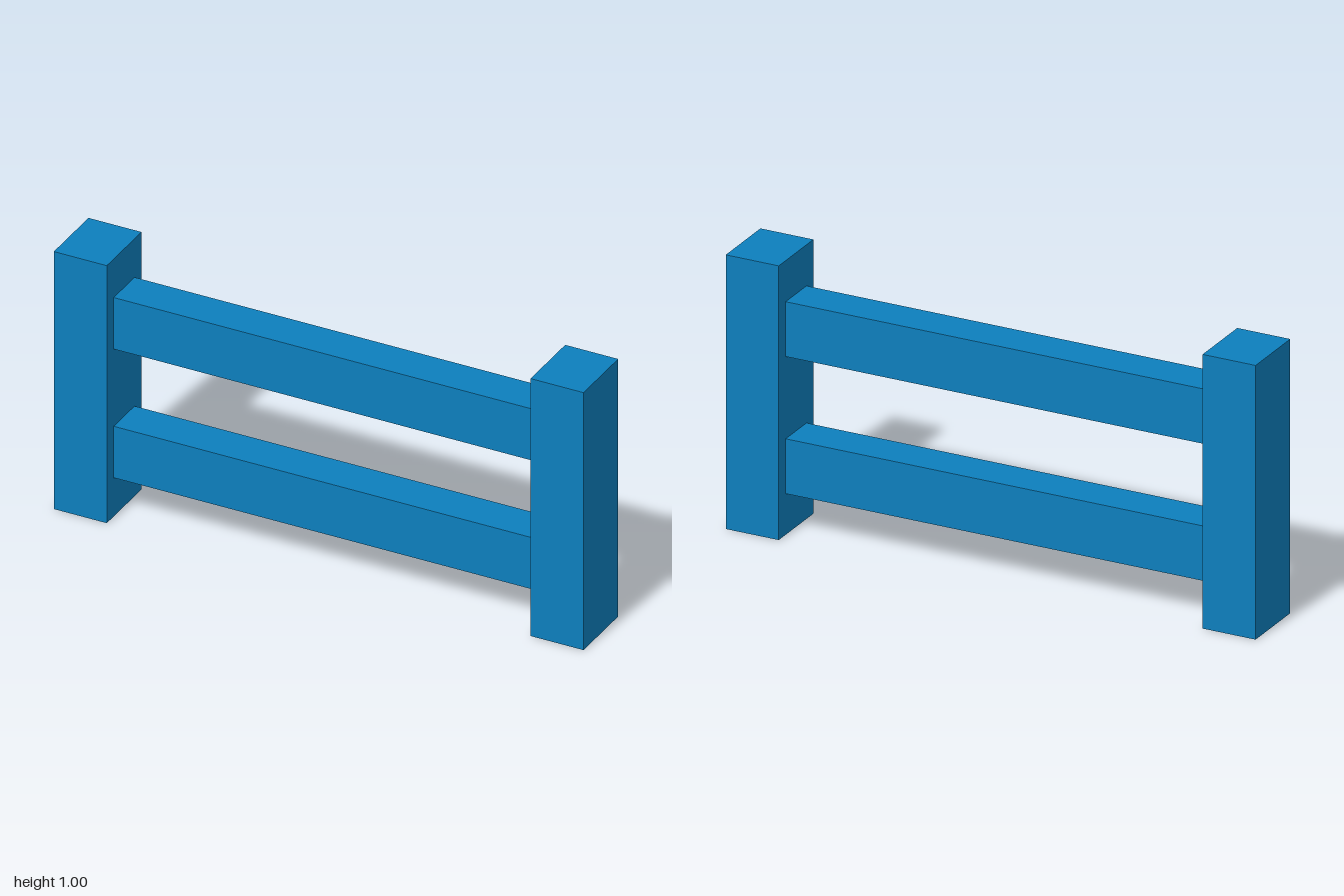
import * as THREE from 'three';

export function createModel() {
  const fence = new THREE.Group();
  fence.name = 'fence';
  const bluePaint = new THREE.MeshStandardMaterial({ color: 0x0d7fbd });
  bluePaint.name = 'bluePaint';

  function addBox(name, size, position) {
    const mesh = new THREE.Mesh(new THREE.BoxGeometry(...size), bluePaint);
    mesh.name = name;
    mesh.position.set(...position);
    fence.add(mesh);
  }

  // Upright posts at both ends
  for (const side of [-1, 1]) {
    addBox(side > 0 ? 'leftPost' : 'rightPost', [0.2, 1, 0.25], [side * 0.9, 0.5, 0]);
  }

  // Horizontal rails between the posts
  addBox('lowerRail', [1.6, 0.2, 0.15], [0, 0.25, 0]);
  addBox('upperRail', [1.6, 0.2, 0.15], [0, 0.75, 0]);

  return fence;
}
